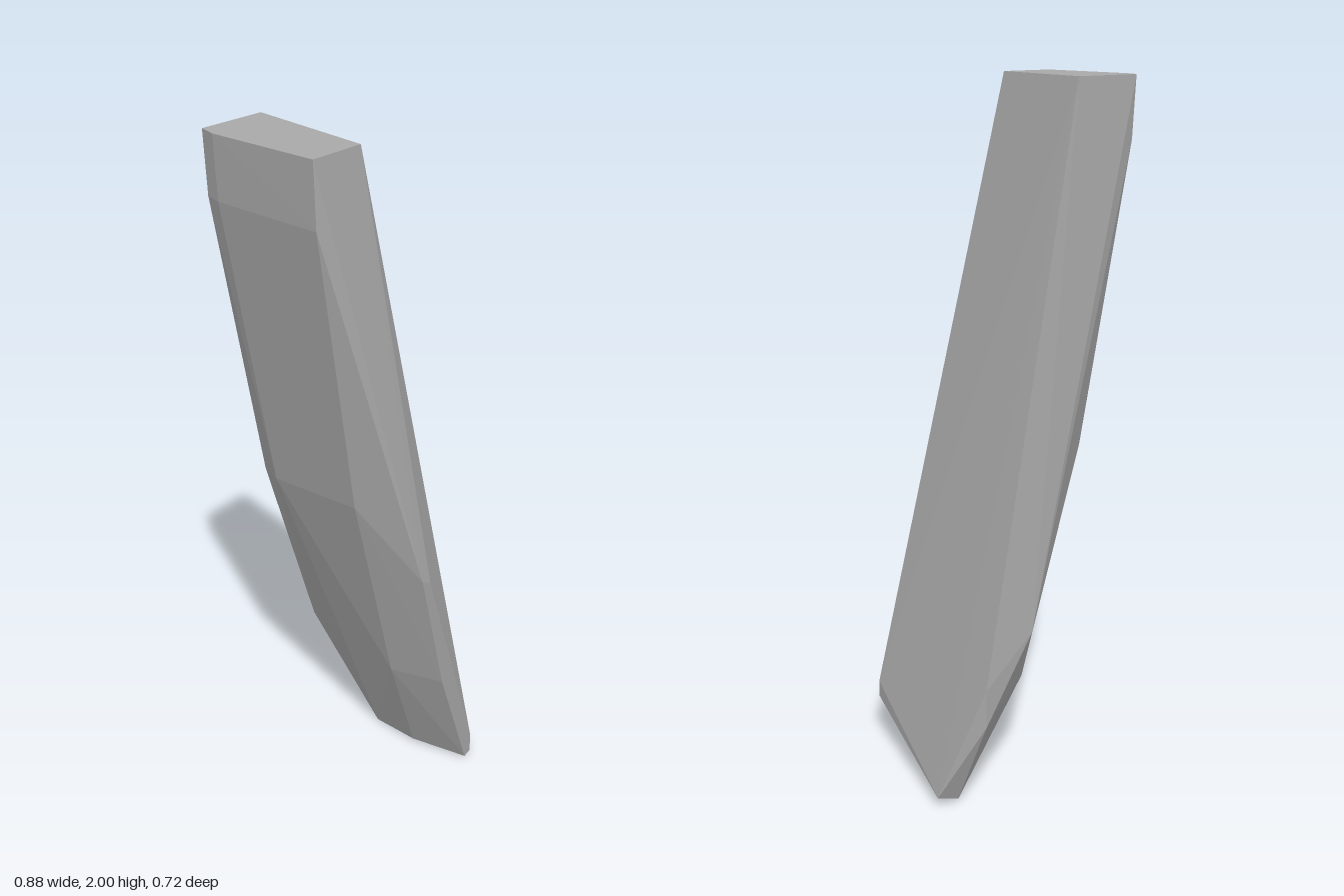
import * as THREE from 'three';
import { ConvexGeometry } from 'three/addons/geometries/ConvexGeometry.js';

// A faceted, leaning stone shard: one convex body from its corner points.
export function createModel() {
  const stone = new THREE.MeshStandardMaterial({ color: 0xa8a8a8 });
  stone.name = 'grey stone';

  const corners = [
    // flat cut at the top
    [-0.445, 2, 0.2], [-0.25, 2, 0.2], [-0.105, 2, -0.235], [-0.345, 2, -0.235], [-0.375, 2, -0.175],
    // bevel below the top on the outer side
    [-0.435, 1.82, 0.2], [-0.332, 1.82, -0.235], [-0.362, 1.82, -0.175],
    // bulging outer side
    [-0.275, 1.0, 0.2], [-0.2, 0.965, -0.136], [-0.14, 0.95, -0.225],
    [-0.085, 0.37, 0.2], [0.12, 0.31, -0.25],
    // front ridge
    [-0.17, 0.77, 0.36], [-0.13, 0.75, 0.36], [-0.05, 0.37, 0.36],
    [0.13, 0.07, 0.36], [0.285, 0.19, 0.2], [0.285, 0.14, 0.2],
    // back ridge
    [0.19, 0.5, -0.358], [0.15, 0.47, -0.29], [0.37, 0.38, -0.36], [0.37, 0.27, -0.36], [0.35, 0.27, -0.325],
    // base
    [0.44, 0.03, -0.235], [0.375, 0.01, -0.25], [0.224, 0.004, -0.147], [0.107, 0, 0.02],
    [0.075, 0.01, 0.18], [0.1, 0.005, 0.36], [0.13, 0.01, 0.36],
  ].map((p) => new THREE.Vector3(...p));

  const shard = new THREE.Mesh(new ConvexGeometry(corners), stone);
  shard.name = 'stoneShard';

  const group = new THREE.Group();
  group.name = 'leaningStone';
  group.add(shard);
  return group;
}
